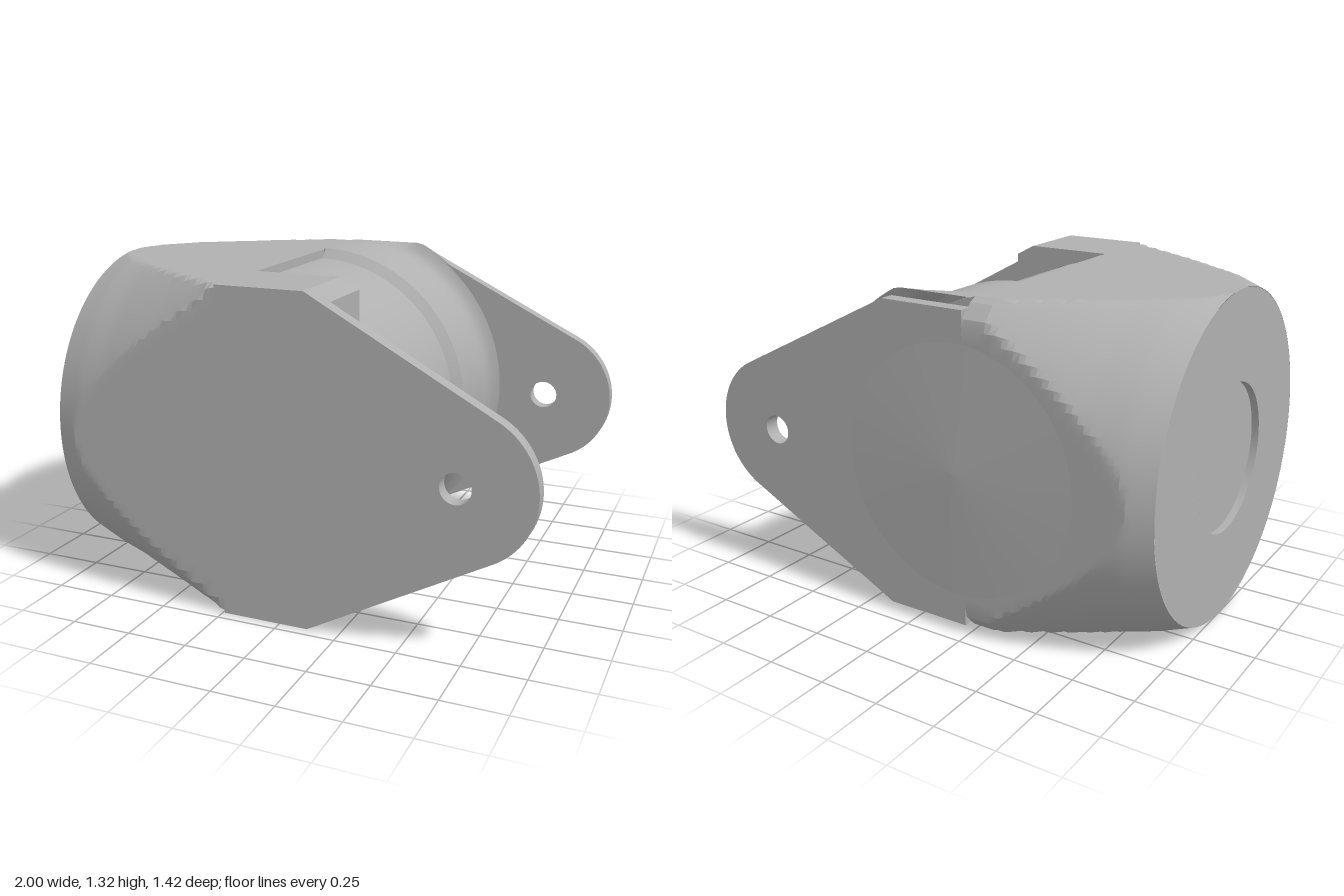
import * as THREE from 'three';
import { toCreasedNormals } from 'three/addons/utils/BufferGeometryUtils.js';

const CX = -0.24, CY = 0.66, CZ = 0.01; // motor axis x, mid height, mid depth
const HALF_Y = 0.66, HALF_Z = 0.70;

// Piecewise linear radius of the conical envelope along x
const CONE = [[-1, 0.664], [-0.88, 0.71], [-0.75, 0.75], [-0.5, 0.845], [-0.3, 0.925], [CX, 0.963]];
function coneRadius(x) {
  for (let i = 1; i < CONE.length; i++) {
    const [x0, r0] = CONE[i - 1], [x1, r1] = CONE[i];
    if (x <= x1) return r0 + (r1 - r0) * (x - x0) / (x1 - x0);
  }
  return 0.963;
}

// Round end lofted into a rectangular housing
function housingGeometry() {
  const nx = 32, nt = 160, pos = [], index = [];
  for (let i = 0; i <= nx; i++) {
    const x = -1 + (CX + 1) * i / nx;
    for (let j = 0; j <= nt; j++) {
      const t = j / nt * Math.PI * 2, s = Math.sin(t), c = Math.cos(t);
      const cone = c < 0 ? Math.min(coneRadius(x), 0.91) : coneRadius(x);
      const r = Math.min(cone, HALF_Y / Math.max(Math.abs(s), 1e-6), HALF_Z / Math.max(Math.abs(c), 1e-6));
      pos.push(x, CY + r * s, CZ + r * c);
    }
  }
  for (let i = 0; i < nx; i++) for (let j = 0; j < nt; j++) {
    const a = i * (nt + 1) + j, b = a + nt + 1;
    index.push(a, b, b + 1, a, b + 1, a + 1);
  }
  const g = new THREE.BufferGeometry();
  g.setAttribute('position', new THREE.Float32BufferAttribute(pos, 3));
  g.setIndex(index);
  return toCreasedNormals(g, 0.3);
}

// Tapered ear outline with a pin hole
function earShape(half) {
  const s = new THREE.Shape(), a = 1.07;
  s.moveTo(CX, CY - half);
  s.lineTo(0.12, CY - half);
  s.absarc(0.7, CY, 0.3, -a, a, false);
  s.lineTo(0.12, CY + half);
  s.lineTo(CX, CY + half);
  s.closePath();
  const hole = new THREE.Path();
  hole.absarc(0.7, CY, 0.06, 0, Math.PI * 2, true);
  s.holes.push(hole);
  return s;
}

// Arm above the motor bore, drawn around the bore centre
function armShape(sign) {
  const s = new THREE.Shape(), r = 0.622, a0 = Math.acos(0.44 / r);
  s.moveTo(0, sign * HALF_Y);
  s.lineTo(0.36, sign * HALF_Y);
  s.lineTo(0.44, sign * 0.617);
  for (let i = 0; i <= 16; i++) {
    const a = a0 + (Math.PI / 2 - a0) * i / 16;
    s.lineTo(r * Math.cos(a), sign * r * Math.sin(a));
  }
  s.closePath();
  return s;
}

export function createModel() {
  const group = new THREE.Group();
  const grey = new THREE.MeshStandardMaterial({ color: 0xb0b0b0 });
  grey.side = THREE.DoubleSide;
  const add = (name, geometry, x = 0, y = 0, z = 0) => {
    const m = new THREE.Mesh(geometry, grey);
    m.name = name;
    m.position.set(x, y, z);
    group.add(m);
    return m;
  };
  const extrude = (shape, depth) =>
    new THREE.ExtrudeGeometry(shape, { depth, bevelEnabled: false, curveSegments: 32 });

  add('housing', housingGeometry());

  // Round end face with a shallow recess
  const faceLeft = (g) => g.rotateY(-Math.PI / 2);
  add('endFace', faceLeft(new THREE.RingGeometry(0.3, 0.662, 96)), -1, CY, CZ);
  add('recessFloor', faceLeft(new THREE.CircleGeometry(0.3, 64)), -0.97, CY, CZ);
  add('recessWall', new THREE.CylinderGeometry(0.3, 0.3, 0.03, 64, 1, true).rotateZ(Math.PI / 2), -0.985, CY, CZ);

  // Ears
  add('frontEar', extrude(earShape(HALF_Y), 0.06), 0, 0, 0.65);
  add('backEar', extrude(earShape(0.625), 0.06), 0, 0, -0.69);
  add('backBulge', new THREE.ConeGeometry(0.5, 0.02, 48, 1, true).rotateX(-Math.PI / 2), -0.2, CY, -0.7);

  // Arms and pocket walls, top and bottom
  for (const sign of [1, -1]) {
    const side = sign > 0 ? 'upper' : 'lower';
    add(side + 'Arm', extrude(armShape(sign), 0.275), CX, CY, 0.375);
    add(side + 'PocketWall', new THREE.BoxGeometry(0.02, 0.036, 0.925), CX - 0.01, CY + sign * 0.64, 0.1725);
  }

  // Motor and its bore
  add('motor', new THREE.CylinderGeometry(0.62, 0.62, 0.93, 96).rotateX(Math.PI / 2), CX, CY, 0.065);
  add('boreWall', new THREE.CylinderGeometry(0.59, 0.59, 0.13, 64, 1, true, Math.PI, Math.PI).rotateX(Math.PI / 2), CX, CY, 0.59);
  for (const dy of [-0.29, 0.29])
    add('bolt', new THREE.CylinderGeometry(0.048, 0.048, 0.04, 6).rotateX(Math.PI / 2), 0.05, CY + dy, 0.55);

  // Half drum flaring into the back ear
  const profile = [[0.62, -0.27], [0.66, -0.305], [0.66, -0.53], [0.667, -0.565], [0.68, -0.595], [0.705, -0.62], [0.74, -0.632]]
    .map(([r, z]) => new THREE.Vector2(r, z));
  const drum = new THREE.LatheGeometry(profile, 64, 0, Math.PI).rotateX(Math.PI / 2);
  const p = drum.attributes.position;
  for (let i = 0; i < p.count; i++) p.setY(i, THREE.MathUtils.clamp(p.getY(i), -HALF_Y, HALF_Y));
  add('backDrum', toCreasedNormals(drum, 0.5), CX, CY, 0);

  return group;
}
